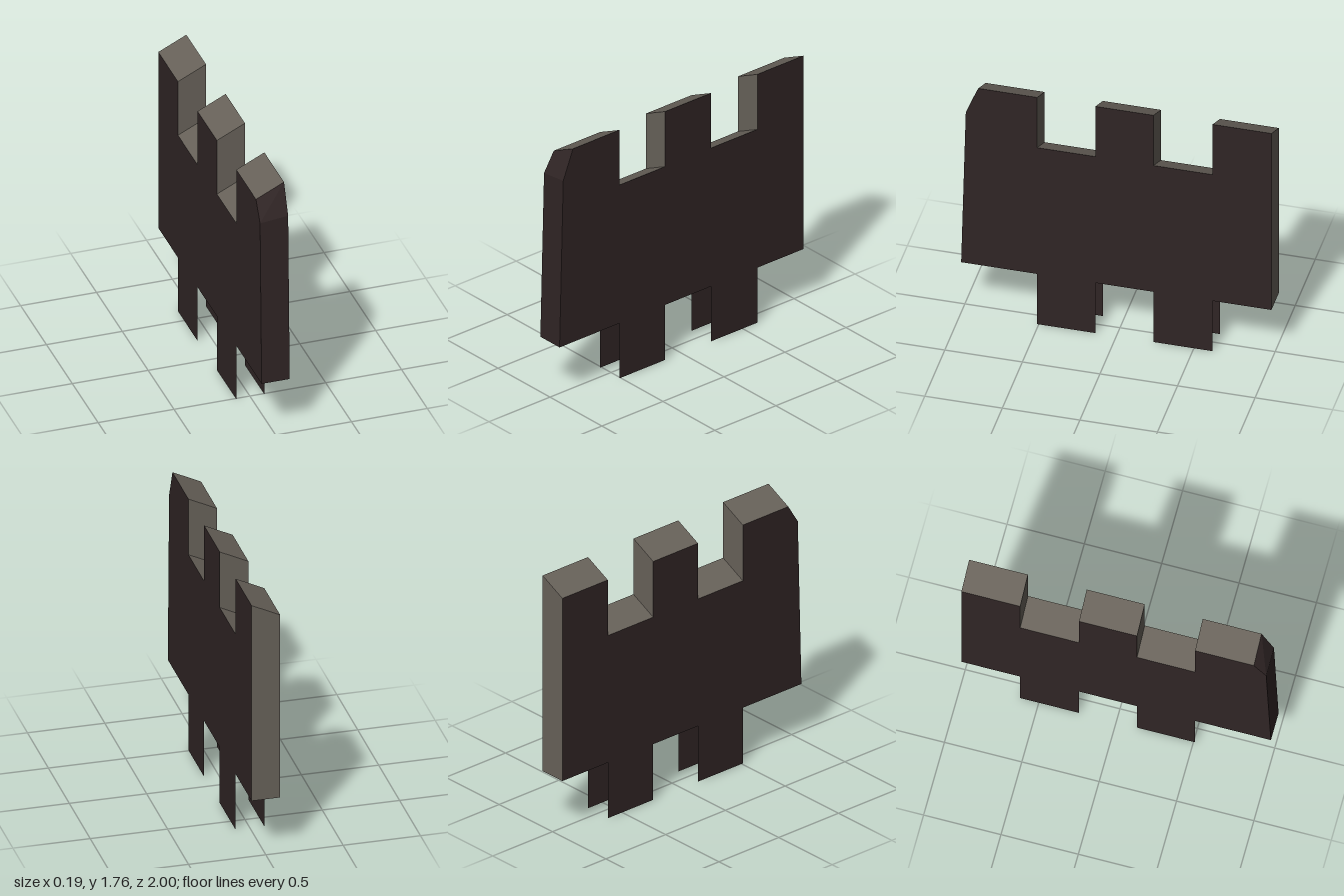
import * as THREE from 'three';

const HALF = 0.0925; // half thickness of the wall

// Profile points are [z, y, drop]; drop lowers the point on the -x side so the tops slope.
const frontPath = [[1, 0.39, 0], [0.97, 1.56, 0.02], [0.89, 1.76, 0.09]];
const crestPath = [
  [0.89, 1.76, 0.09], [0.51, 1.76, 0.09], [0.51, 1.37, 0.09], [0.135, 1.37, 0.09],
  [0.135, 1.76, 0.09], [-0.24, 1.76, 0.09], [-0.24, 1.37, 0.09], [-0.62, 1.37, 0.09],
  [-0.62, 1.76, 0.09], [-1, 1.76, 0.09], [-1, 0.39, 0],
];
const bottomPath = [[-1, 0.39, 0], [1, 0.39, 0]];
const footPath = [
  [-0.62, 0.39, 0], [-0.62, 0, 0], [-0.24, 0, 0], [-0.24, 0.39, 0],
  [0.135, 0.39, 0], [0.135, 0, 0], [0.51, 0, 0], [0.51, 0.39, 0],
];

// Band of quads spanning the thickness along a path
function bandGeometry(path) {
  const pos = [];
  const left = ([z, y]) => [HALF, y, z];
  const right = ([z, y, drop]) => [-HALF, y - drop, z];
  for (let i = 0; i < path.length - 1; i++) {
    const a = path[i], b = path[i + 1];
    pos.push(...right(a), ...left(a), ...left(b), ...right(a), ...left(b), ...right(b));
  }
  const geo = new THREE.BufferGeometry();
  geo.setAttribute('position', new THREE.Float32BufferAttribute(pos, 3));
  geo.computeVertexNormals();
  return geo;
}

// Flat side sheet, with the feet hanging below the wall as open plates
function sideGeometry(side) {
  const outline = [...frontPath, ...crestPath.slice(1), ...footPath];
  const points = outline.map(([z, y, drop]) => new THREE.Vector2(-z, side > 0 ? y : y - drop));
  const geo = new THREE.ShapeGeometry(new THREE.Shape(points));
  geo.rotateY(Math.PI / 2);
  geo.translate(side * HALF, 0, 0);
  if (side < 0) geo.index.array.reverse(); // face outward
  geo.computeVertexNormals();
  return geo;
}

export function createModel() {
  const brown = new THREE.MeshStandardMaterial({ color: 0x302525, side: THREE.DoubleSide });
  brown.name = 'darkBrown';
  const grey = new THREE.MeshStandardMaterial({ color: 0x68625a, side: THREE.DoubleSide });
  grey.name = 'stoneGrey';

  const group = new THREE.Group();
  group.name = 'battlementWall';
  const add = (name, geo, mat) => {
    const mesh = new THREE.Mesh(geo, mat);
    mesh.name = name;
    group.add(mesh);
  };

  add('leftSide', sideGeometry(1), brown);
  add('rightSide', sideGeometry(-1), brown);
  add('frontFace', bandGeometry(frontPath), brown);
  add('crestAndBack', bandGeometry(crestPath), grey);
  add('underside', bandGeometry(bottomPath), brown);
  return group;
}
